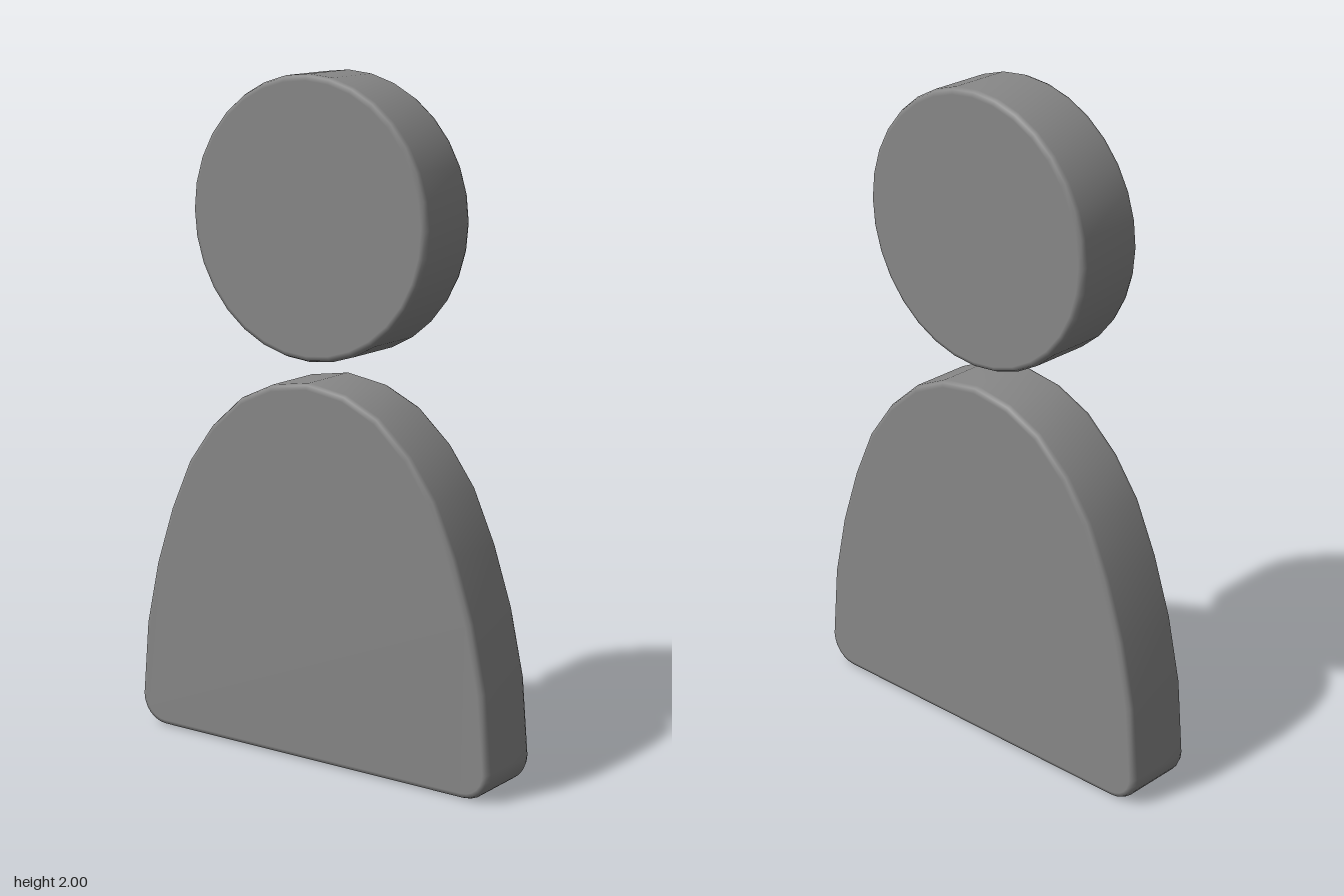
import * as THREE from 'three';
import { mergeVertices } from 'three/addons/utils/BufferGeometryUtils.js';

const DEPTH = 0.225;
const BEVEL = 0.018;

// Flat plate with softened rims, centred on z = 0
function plate(name, outline, material) {
  let geometry = new THREE.ExtrudeGeometry(new THREE.Shape(outline), {
    depth: DEPTH - 2 * BEVEL,
    bevelThickness: BEVEL,
    bevelSize: BEVEL,
    bevelOffset: -BEVEL,
    bevelSegments: 2,
  });
  geometry.translate(0, 0, BEVEL - DEPTH / 2);

  // Smooth walls and rims, with the front and back faces kept flat
  geometry.deleteAttribute('uv');
  geometry.deleteAttribute('normal');
  geometry = mergeVertices(geometry);
  geometry.computeVertexNormals();
  const { position, normal } = geometry.attributes;
  for (let i = 0; i < position.count; i++) {
    const z = position.getZ(i);
    if (Math.abs(z) > DEPTH / 2 - 0.001) normal.setXYZ(i, 0, 0, Math.sign(z));
  }

  const mesh = new THREE.Mesh(geometry, material);
  mesh.name = name;
  return mesh;
}

export function createModel() {
  const group = new THREE.Group();
  group.name = 'personIcon';
  const material = new THREE.MeshStandardMaterial({ color: 0x888888 });

  // Round head
  const head = [];
  for (let i = 0; i < 32; i++) {
    const a = (i / 32) * Math.PI * 2;
    head.push(new THREE.Vector2(0.406 * Math.cos(a), 1.594 + 0.406 * Math.sin(a)));
  }
  group.add(plate('head', head, material));

  // Domed torso: rounded bottom corner, then the side curve up to the crown
  const side = [];
  for (let i = 0; i <= 6; i++) {
    const a = (i / 6 - 1) * Math.PI / 2;
    side.push([0.538 + 0.088 * Math.cos(a), 0.086 + 0.086 * Math.sin(a)]);
  }
  side.push([0.606, 0.317], [0.563, 0.513], [0.504, 0.69], [0.434, 0.845],
    [0.35, 0.96], [0.243, 1.055], [0.13, 1.107]);
  const torso = [
    ...side,
    [0, 1.127],
    ...side.map(([x, y]) => [-x, y]).reverse(),
  ].map(([x, y]) => new THREE.Vector2(x, y));
  group.add(plate('torso', torso, material));

  return group;
}
